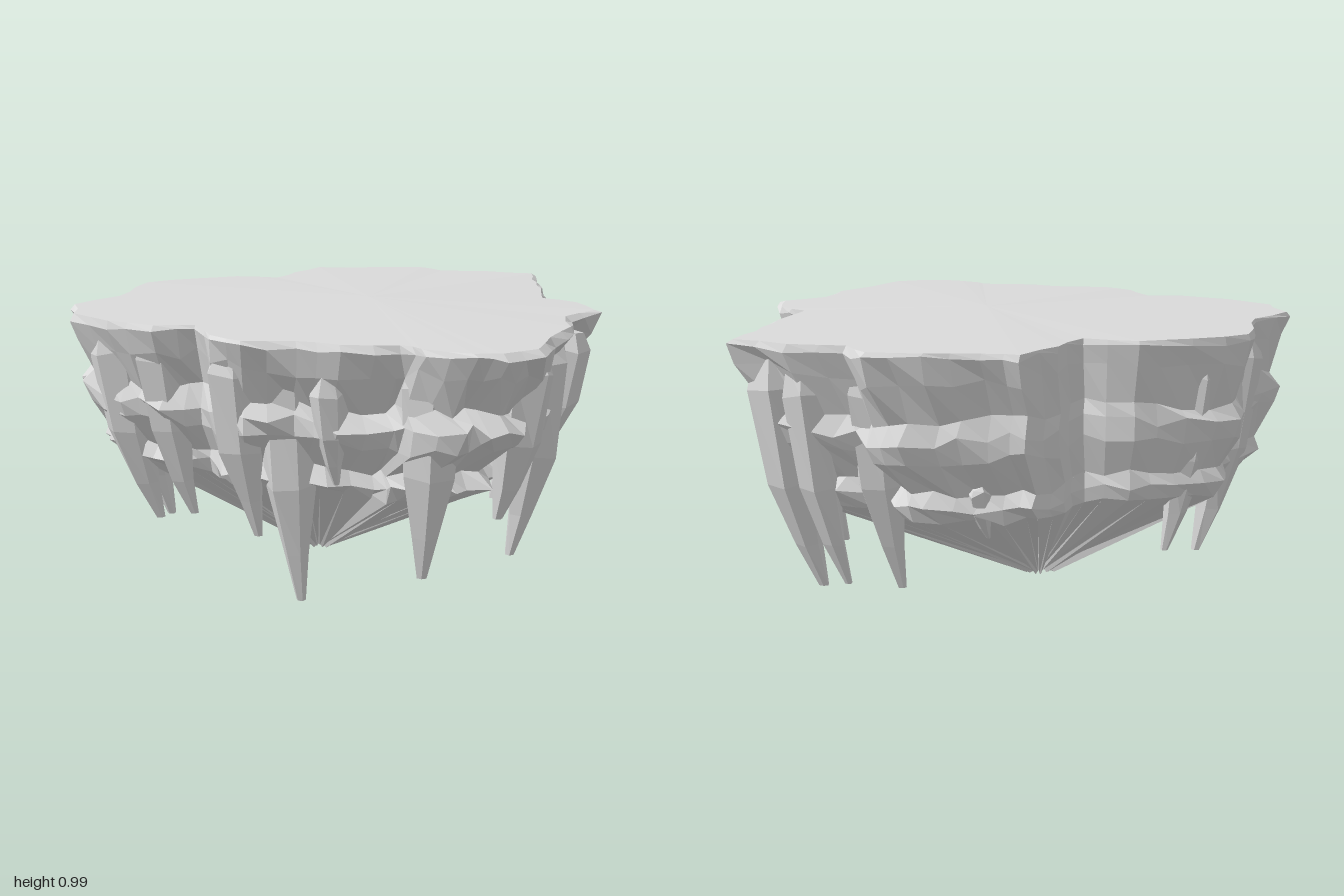
import * as THREE from 'three';

// rim outline as x, z pairs, running back, right, front, left
const OUTLINE = [
  0.14, -1.0, 0.25, -0.96, 0.42, -0.93, 0.59, -0.88, 0.64, -0.75, 0.82, -0.69, 0.99, -0.57, 0.93, -0.41,
  0.88, -0.24, 0.82, -0.07, 0.77, 0.06, 0.85, 0.18, 0.85, 0.36, 0.69, 0.45, 0.62, 0.64, 0.48, 0.79,
  0.37, 0.96, 0.24, 1.0, 0.15, 0.98, 0.02, 0.87, -0.03, 0.79, -0.21, 0.74, -0.33, 0.65, -0.50, 0.60,
  -0.58, 0.48, -0.60, 0.29, -0.74, 0.26, -0.88, 0.13, -0.99, -0.05, -0.98, -0.25, -0.80, -0.40,
  -0.72, -0.61, -0.66, -0.73, -0.45, -0.79, -0.27, -0.81, -0.11, -0.73, 0.0, -0.87,
];

// ledge profile: scale about the core, height, sideways jitter, height jitter
const RINGS = [
  [0.985, 0.983, 0.004, 0], [1.0, 0.965, 0.006, 0.012], [0.97, 0.89, 0.02, 0.03],
  [0.91, 0.765, 0.02, 0.025], [0.95, 0.71, 0.02, 0.03], [0.93, 0.645, 0.02, 0.03],
  [0.82, 0.53, 0.015, 0.02], [0.85, 0.485, 0.02, 0.02], [0.80, 0.435, 0.03, 0.015],
];
const CORE = [-0.25, -0.4];
const APEX = [-0.08, -0.14];

// hanging spikes: tip x, y, z, then radius and top height
const SPIKES = [
  [-0.71, 0.22, 0.0, 0.1, 0.94], [-0.635, 0.12, -0.32, 0.1, 0.94], [-0.6, 0.27, 0.13, 0.09, 0.94],
  [-0.42, 0.27, 0.42, 0.09, 0.94], [-0.42, 0.24, -0.64, 0.08, 0.93], [-0.28, 0.03, 0.45, 0.1, 0.93],
  [-0.19, 0.49, 0.6, 0.06, 0.86], [0.08, 0.17, 0.69, 0.105, 0.94], [0.34, 0.36, 0.7, 0.1, 0.93],
  [0.465, 0.15, 0.515, 0.1, 0.94], [0.6, 0.41, 0.355, 0.09, 0.93], [0.67, 0.40, 0.17, 0.09, 0.93],
  [0.64, 0.15, -0.09, 0.1, 0.94], [0.7, 0.52, -0.29, 0.1, 0.94], [0.72, 0.13, -0.5, 0.1, 0.92],
  [0.64, 0.16, -0.58, 0.08, 0.9], [0.465, 0.155, -0.63, 0.09, 0.92],
  [0.2, 0.36, -0.78, 0.04, 0.55], [-0.05, 0.38, -0.65, 0.04, 0.55],
];

function seeded(seed) {
  return () => {
    seed = (seed * 16807) % 2147483647;
    return (seed / 2147483647) * 2 - 1;
  };
}

function meshFrom(name, triangles, material) {
  const geometry = new THREE.BufferGeometry();
  geometry.setAttribute('position', new THREE.Float32BufferAttribute(triangles.flat(2), 3));
  geometry.computeVertexNormals();
  const mesh = new THREE.Mesh(geometry, material);
  mesh.name = name;
  return mesh;
}

// triangles joining each ring to the one below it
function skin(rings) {
  const out = [];
  for (let r = 0; r + 1 < rings.length; r++) {
    const a = rings[r], b = rings[r + 1], n = a.length;
    for (let i = 0; i < n; i++) {
      const j = (i + 1) % n;
      out.push([a[i], a[j], b[i]], [a[j], b[j], b[i]]);
    }
  }
  return out;
}

function fan(ring, centre, up) {
  return ring.map((p, i) => {
    const q = ring[(i + 1) % ring.length];
    return up ? [centre, q, p] : [centre, p, q];
  });
}

function createSpike([x, y, z, radius, top], random, material) {
  const sides = 6;
  const turn = random();
  // fraction down the spike, radius factor
  const profile = [[0, 0.7], [0.12, 1], [0.52, 0.86], [0.8, 0.46], [1, 0.17]];
  // the spike curves outward towards its top
  const axis = (t) => [x * (1 + 0.18 * (1 - t * t)), top + (y - top) * t, z * (1 + 0.07 * (1 - t * t))];
  const rings = profile.map(([t, f]) => {
    const [cx, cy, cz] = axis(t);
    return Array.from({ length: sides }, (_, i) => {
      const a = turn + (i / sides) * Math.PI * 2;
      const r = radius * f * (1 + random() * 0.1);
      return [cx + Math.cos(a) * r, cy + random() * 0.02 * (1 - t), cz + Math.sin(a) * r];
    });
  });
  const triangles = [...skin(rings), ...fan(rings[0], axis(0), true), ...fan(rings[rings.length - 1], axis(1), false)];
  return meshFrom('hangingSpike', triangles, material);
}

export function createModel() {
  const group = new THREE.Group();
  group.name = 'floatingRock';
  const stone = new THREE.MeshStandardMaterial({ color: 0xdadada, flatShading: true });
  stone.name = 'grey stone';
  const random = seeded(4711);

  // outline with a slightly shifted point added inside each span
  const outline = [];
  const count = OUTLINE.length / 2;
  for (let i = 0; i < count; i++) {
    const j = (i + 1) % count;
    const [x, z, nx, nz] = [OUTLINE[i * 2], OUTLINE[i * 2 + 1], OUTLINE[j * 2], OUTLINE[j * 2 + 1]];
    outline.push([x, z], [(x + nx) / 2 + random() * 0.014, (z + nz) / 2 + random() * 0.014]);
  }

  const rings = RINGS.map(([s, y, jr, jy], r) => outline.map(([x, z], i) => {
    const k = s + random() * jr;
    const wave = Math.sin(i * 0.55 + r * 0.3) * jy * 0.5;
    return [CORE[0] + (x - CORE[0]) * k, y + wave + random() * jy * 0.7, CORE[1] + (z - CORE[1]) * k];
  }));

  // nearly flat top, raised a little in the middle
  group.add(meshFrom('topSurface', fan(rings[0], [0.1, 1.0, -0.05], true), stone));
  group.add(meshFrom('ledgeWall', skin(rings), stone));

  // pleated underside narrowing to a small ragged point
  const lowest = rings[rings.length - 1];
  const foot = lowest.map(([x, , z]) => {
    const k = 0.07 + random() * 0.03;
    return [APEX[0] + (x - APEX[0]) * k, 0.018 + random() * 0.012, APEX[1] + (z - APEX[1]) * k];
  });
  group.add(meshFrom('underside', [...skin([lowest, foot]), ...fan(foot, [APEX[0], 0.03, APEX[1]], false)], stone));

  const spikes = new THREE.Group();
  spikes.name = 'hangingSpikes';
  for (const spike of SPIKES) spikes.add(createSpike(spike, random, stone));
  group.add(spikes);

  // rest the lowest point on the ground
  const box = new THREE.Box3().setFromObject(group);
  group.position.y = -box.min.y;
  return group;
}
